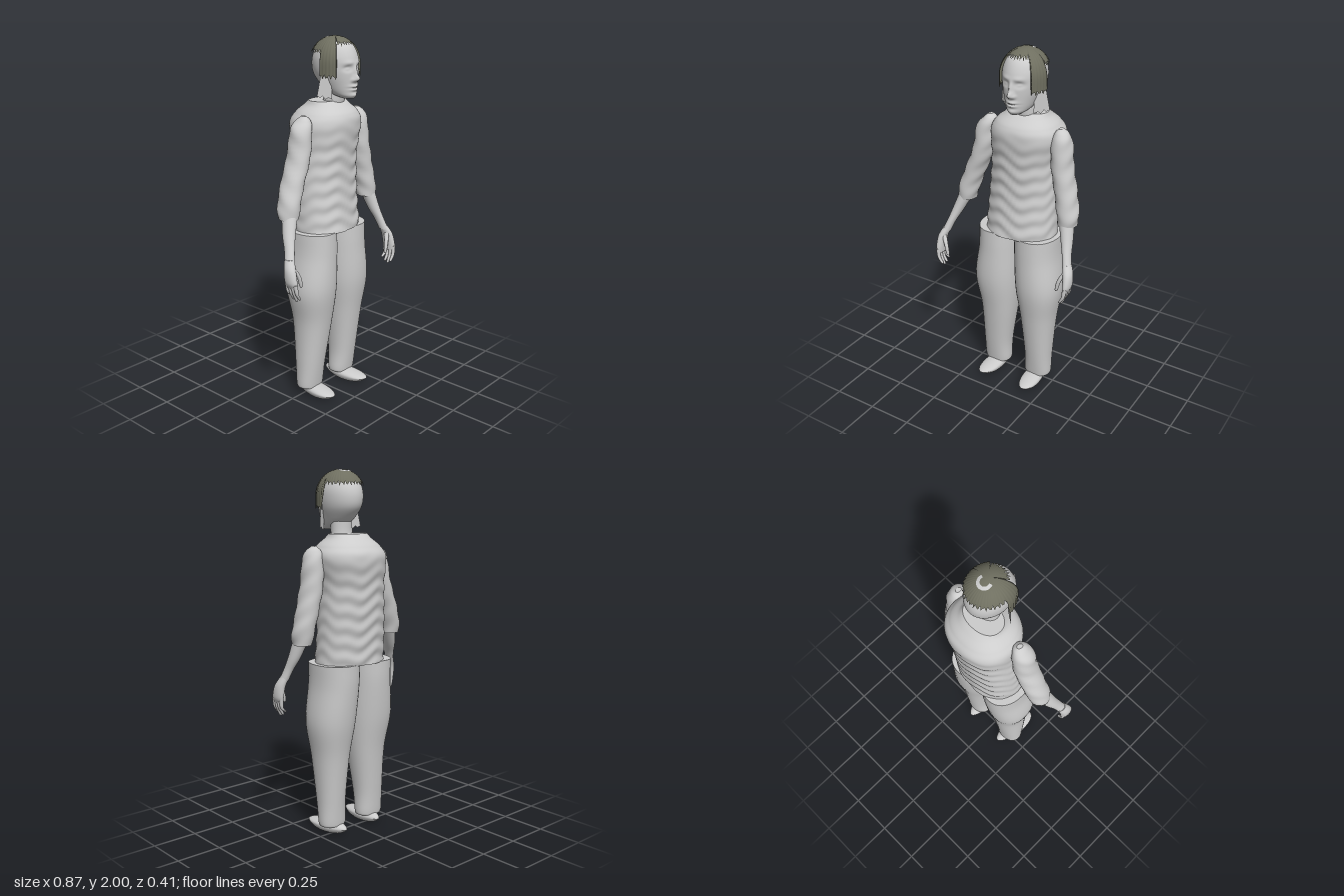
import * as THREE from 'three';

const grey = new THREE.MeshStandardMaterial({ color: 0xcccccc });
grey.name = 'lightGrey';
const greyThin = new THREE.MeshStandardMaterial({ color: 0xcccccc, side: THREE.DoubleSide });
greyThin.name = 'lightGreyThin';
const olive = new THREE.MeshStandardMaterial({ color: 0x6f6f60, side: THREE.DoubleSide });
olive.name = 'oliveHair';

const mesh = (name, geo, mat = grey) => {
  const m = new THREE.Mesh(geo, mat);
  m.name = name;
  return m;
};

// Closed smooth body through sections [y, centreX, centreZ, radiusX, radiusZ], lowest first
function loft(sections, { seg = 28, rows = 24, power = 2, shape = null } = {}) {
  const mid = new THREE.CatmullRomCurve3(sections.map(s => new THREE.Vector3(s[1], s[0], s[2])), false, 'catmullrom');
  const rad = new THREE.CatmullRomCurve3(sections.map(s => new THREE.Vector3(s[3], s[4], 0)), false, 'catmullrom');
  const pos = [], idx = [];
  const bend = v => Math.sign(v) * Math.pow(Math.abs(v), 2 / power);
  for (let i = 0; i <= rows; i++) {
    const c = mid.getPoint(i / rows), r = rad.getPoint(i / rows);
    for (let j = 0; j < seg; j++) {
      const a = j / seg * Math.PI * 2;
      const p = new THREE.Vector3(c.x + r.x * bend(Math.sin(a)), c.y, c.z + r.y * bend(Math.cos(a)));
      if (shape) shape(p, a);
      pos.push(p.x, p.y, p.z);
      if (i < rows) {
        const k = (j + 1) % seg, u = i * seg, v = u + seg;
        idx.push(u + j, u + k, v + k, u + j, v + k, v + j);
      }
    }
  }
  // end caps on their own vertices, so the rims stay sharp
  for (const [row, up] of [[0, false], [rows, true]]) {
    const c = mid.getPoint(row / rows), base = pos.length / 3;
    for (let j = 0; j < seg; j++) {
      const o = (row * seg + j) * 3;
      pos.push(pos[o], pos[o + 1], pos[o + 2]);
      const k = base + (j + 1) % seg;
      if (up) idx.push(base + seg, base + j, k);
      else idx.push(base + seg, k, base + j);
    }
    pos.push(c.x, c.y, c.z);
  }
  const g = new THREE.BufferGeometry();
  g.setAttribute('position', new THREE.Float32BufferAttribute(pos, 3));
  g.setIndex(idx);
  g.computeVertexNormals();
  return g;
}

const HX = 0.07; // the head sits a little to the left
const bump = (x, y, cx, cy, sx, sy) => Math.exp(-(((x - cx) / sx) ** 2) - ((y - cy) / sy) ** 2);

// Face relief: nose, brow, eye sockets, lips, chin
function faceRelief(p, a) {
  if (Math.cos(a) < 0.25) return;
  const x = Math.abs(p.x - HX), y = p.y;
  p.z += 0.03 * bump(x, y, 0, 1.79, 0.014, 0.017) + 0.014 * bump(x, y, 0, 1.825, 0.011, 0.03)
    + 0.009 * bump(x, y, 0.017, 1.782, 0.01, 0.009)
    - 0.014 * bump(x, y, 0.04, 1.842, 0.022, 0.014) + 0.008 * bump(x, y, 0.04, 1.84, 0.014, 0.008)
    + 0.005 * bump(x, y, 0.035, 1.87, 0.03, 0.012)
    + 0.01 * bump(x, y, 0, 1.75, 0.028, 0.008) + 0.01 * bump(x, y, 0, 1.732, 0.024, 0.008)
    - 0.005 * bump(x, y, 0, 1.741, 0.03, 0.003) + 0.006 * bump(x, y, 0, 1.702, 0.022, 0.012);
}

// Hair dome surface and its ragged lower edge
const hairScale = y => Math.sqrt(Math.max(0, 1 - (Math.max(0, y - 1.86) / 0.14) ** 2));
function hairEdge(a) {
  const d = Math.min(a, 2 * Math.PI - a) * 180 / Math.PI;
  const base = d < 46 ? 1.965 : d < 90 ? 1.8 : 1.925;
  return base + 0.008 * Math.sin(a * 37) + 0.006 * Math.sin(a * 61 + 1);
}
function hairGeometry() {
  const seg = 180, rows = 16, pos = [], idx = [];
  for (let i = 0; i <= rows; i++) for (let j = 0; j < seg; j++) {
    const a = j / seg * Math.PI * 2, v = 1 - i / rows;
    const y = 2 - (2 - hairEdge(a)) * v * v;
    const f = hairScale(y) * (1 + 0.008 * Math.sin(a * 45));
    pos.push(HX + 0.128 * f * Math.sin(a), y, 0.028 + 0.142 * f * Math.cos(a));
    if (i < rows) {
      const k = (j + 1) % seg, u = i * seg, w = u + seg;
      idx.push(u + j, u + k, w + k, u + j, w + k, w + j);
    }
  }
  const g = new THREE.BufferGeometry();
  g.setAttribute('position', new THREE.Float32BufferAttribute(pos, 3));
  g.setIndex(idx);
  g.computeVertexNormals();
  return g;
}

function buildHead() {
  const head = new THREE.Group();
  head.name = 'head';
  head.add(mesh('skullAndFace', loft([
    [1.685, HX, 0.115, 0.03, 0.04], [1.70, HX, 0.095, 0.052, 0.068], [1.72, HX, 0.072, 0.068, 0.092],
    [1.75, HX, 0.055, 0.082, 0.11], [1.80, HX, 0.036, 0.1, 0.13], [1.85, HX, 0.03, 0.108, 0.135],
    [1.90, HX, 0.03, 0.106, 0.127], [1.95, HX, 0.03, 0.088, 0.1], [1.98, HX, 0.026, 0.054, 0.058],
    [1.992, HX, 0.026, 0.01, 0.01],
  ], { seg: 128, rows: 90, shape: faceRelief })));
  head.add(mesh('neck', loft([
    [1.6, HX, 0.0, 0.075, 0.06], [1.66, HX, 0.02, 0.062, 0.054], [1.75, HX, 0.025, 0.06, 0.055],
  ])));
  head.add(mesh('hair', hairGeometry(), olive));

  // pale horseshoe patch on the crown
  const patch = new THREE.RingGeometry(0.022, 0.038, 32, 2, -0.4, Math.PI + 0.8).rotateX(-Math.PI / 2).translate(HX, 0, 0);
  const pp = patch.attributes.position;
  for (let i = 0; i < pp.count; i++) {
    const q = ((pp.getX(i) - HX) / 0.128) ** 2 + ((pp.getZ(i) - 0.028) / 0.142) ** 2;
    pp.setY(i, 1.8625 + 0.14 * Math.sqrt(1 - q));
  }
  patch.computeVertexNormals();
  head.add(mesh('crownPatch', patch, greyThin));

  // loose locks hanging beside the jaw
  for (const s of [-1, 1]) {
    const outline = [[0.1, 1.86], [0.122, 1.84], [0.143, 1.7], [0.128, 1.69], [0.12, 1.7], [0.105, 1.68], [0.095, 1.69], [0.076, 1.68], [0.08, 1.765], [0.1, 1.82]];
    const g = new THREE.ShapeGeometry(new THREE.Shape(outline.map(([u, y]) => new THREE.Vector2(s * u, y))));
    const p = g.attributes.position;
    for (let i = 0; i < p.count; i++) p.setZ(i, 0.03 + (0.143 - Math.abs(p.getX(i))) * 0.7);
    g.translate(HX, 0, 0).computeVertexNormals();
    head.add(mesh('sideLock', g, greyThin));
  }
  return head;
}

// Arm on side s (-1 right, 1 left); xs are the centres of the sleeve from cuff to shoulder
function buildArm(s, xs, forearmX) {
  const arm = new THREE.Group();
  arm.name = s < 0 ? 'rightArm' : 'leftArm';
  const sleeve = [[1.09, 0.035, 0.051, 0.056], [1.15, 0.03, 0.058, 0.064], [1.25, 0.02, 0.059, 0.066],
    [1.4, 0.014, 0.058, 0.068], [1.53, 0.012, 0.055, 0.06], [1.58, 0.01, 0.038, 0.042], [1.605, 0.01, 0.012, 0.016]];
  arm.add(mesh('sleeve', loft(sleeve.map(([y, z, rx, rz], i) => [y, s * xs[i], z, rx, rz]), {
    rows: 40,
    shape: p => { p.x += 0.003 * Math.sin(p.y * 60 + p.z * 40); },
  })));
  arm.add(mesh('forearm', loft([
    [0.89, s * 0.391, 0.128, 0.024, 0.029], [0.95, s * forearmX[2], 0.105, 0.024, 0.03],
    [1.02, s * forearmX[1], 0.075, 0.032, 0.037], [1.13, s * forearmX[0], 0.04, 0.042, 0.045],
  ])));
  arm.add(mesh('palm', loft([
    [0.765, s * 0.405, 0.157, 0.014, 0.036], [0.80, s * 0.41, 0.154, 0.022, 0.041],
    [0.86, s * 0.405, 0.142, 0.025, 0.036], [0.91, s * 0.387, 0.122, 0.023, 0.028],
  ], { seg: 20 })));
  for (let i = 0; i < 4; i++) {
    const z = 0.127 + i * 0.02, tip = 0.7 + [0.02, 0.002, -0.005, 0.008][i];
    arm.add(mesh('finger', loft([
      [tip - 0.008, s * 0.383, z + 0.002, 0.003, 0.003], [tip, s * 0.386, z + 0.002, 0.008, 0.008],
      [0.74, s * 0.405, z + 0.003, 0.01, 0.01], [0.79, s * 0.411, z, 0.012, 0.012],
    ], { seg: 10, rows: 12 })));
  }
  arm.add(mesh('thumb', loft([
    [0.757, s * 0.354, 0.172, 0.003, 0.003], [0.768, s * 0.355, 0.172, 0.009, 0.009],
    [0.82, s * 0.367, 0.168, 0.011, 0.012], [0.875, s * 0.395, 0.148, 0.014, 0.016],
  ], { seg: 10, rows: 12 })));
  return arm;
}

// Trouser leg with cuff and shoe; spans list [y, minX, maxX]
function buildLeg(s, spans, footX) {
  const leg = new THREE.Group();
  leg.name = s < 0 ? 'rightLeg' : 'leftLeg';
  const depth = [[0.012, 0.06], [0.012, 0.064], [0.015, 0.078], [0.018, 0.108], [0.015, 0.14], [0.004, 0.149], [0, 0.15]];
  leg.add(mesh('trouserLeg', loft(spans.map(([y, a, b], i) => [y, (a + b) / 2, depth[i][0], (b - a) / 2, depth[i][1]]),
    { seg: 36, rows: 48, power: 2.2 })));
  const shoe = new THREE.SphereGeometry(1, 28, 20);
  const p = shoe.attributes.position;
  for (let i = 0; i < p.count; i++) {
    const z = p.getZ(i), y = p.getY(i);
    // flat sole, low toe, raised instep, narrower heel
    p.setXYZ(i, p.getX(i) * (0.055 + 0.008 * z), y < 0 ? Math.max(-0.034, y * 0.045) + 0.008 * z * z : y * (0.03 - 0.01 * z), z * 0.145);
  }
  shoe.rotateY(s * 0.08).translate(footX, 0.034, 0.055).computeVertexNormals();
  leg.add(mesh('shoe', shoe));
  return leg;
}

export function createModel() {
  const model = new THREE.Group();
  model.name = 'figure';
  // shirt with soft horizontal folds
  model.add(mesh('shirt', loft([
    [0.97, 0.035, 0, 0.203, 0.156], [1.1, 0.037, -0.01, 0.198, 0.153], [1.25, 0.041, -0.02, 0.192, 0.154],
    [1.4, 0.047, -0.024, 0.186, 0.162], [1.54, 0.058, -0.027, 0.2, 0.177], [1.6, 0.06, -0.02, 0.172, 0.155],
    [1.64, 0.062, -0.02, 0.128, 0.112], [1.665, 0.062, -0.02, 0.113, 0.08],
  ], {
    seg: 64, rows: 100, power: 2.2,
    shape: (p, a) => {
      const w = 0.004 * Math.min(1, Math.max(0, (1.6 - p.y) * 5)) * Math.sin(p.y * 75 + 2 * Math.sin(a * 3) + Math.sin(a * 7));
      p.x += w * Math.sin(a) * 0.5;
      p.z += w * Math.cos(a);
    },
  })));
  model.add(buildHead());
  model.add(buildArm(-1, [0.3, 0.292, 0.258, 0.2, 0.178, 0.16, 0.155], [0.295, 0.34, 0.368]));
  model.add(buildArm(1, [0.337, 0.334, 0.316, 0.287, 0.278, 0.273, 0.268], [0.333, 0.357, 0.375]));
  model.add(buildLeg(-1, [[0.05, -0.195, -0.04], [0.075, -0.2, -0.035], [0.2, -0.2, -0.03], [0.45, -0.205, 0.005],
    [0.65, -0.235, 0.025], [0.85, -0.21, 0.03], [0.975, -0.205, 0.03]], -0.115));
  model.add(buildLeg(1, [[0.05, 0.08, 0.23], [0.075, 0.075, 0.236], [0.2, 0.08, 0.24], [0.45, 0.06, 0.26],
    [0.65, 0.032, 0.288], [0.85, 0.022, 0.27], [0.975, 0.02, 0.268]], 0.15));
  return model;
}
